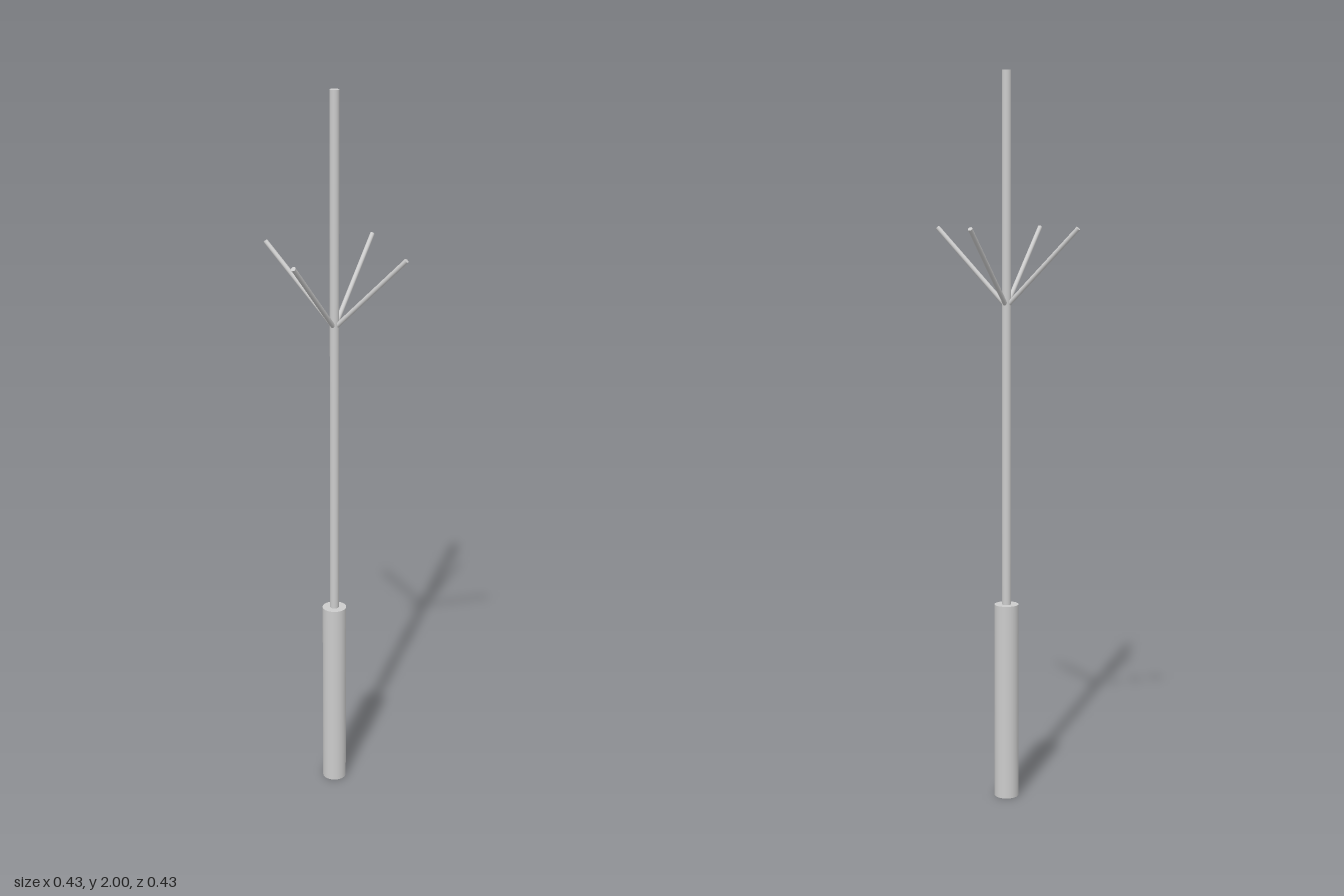
import * as THREE from 'three';

const material = new THREE.MeshStandardMaterial({ color: 0xcccccc });

// Vertical rod standing on its lower end
function rod(name, radius, length, sides) {
  const geometry = new THREE.CylinderGeometry(radius, radius, length, sides);
  geometry.translate(0, length / 2, 0);
  const mesh = new THREE.Mesh(geometry, material);
  mesh.name = name;
  return mesh;
}

export function createModel() {
  const model = new THREE.Group();
  model.name = 'antenna';

  // Thick mounting sleeve at the foot
  model.add(rod('baseSleeve', 0.0335, 0.55, 32));

  // Slim mast rising out of the sleeve
  const mast = rod('mast', 0.0125, 1.5, 24);
  mast.position.y = 0.5;
  model.add(mast);

  // Four radials sloping up at 45 degrees, one per axis direction
  const radials = new THREE.Group();
  radials.name = 'radials';
  radials.position.y = 1.374;
  for (let i = 0; i < 4; i++) {
    const arm = new THREE.Group();
    arm.name = 'radialArm';
    arm.rotation.y = (i * Math.PI) / 2;
    const radial = rod('radial', 0.0063, 0.298, 16);
    radial.rotation.z = -Math.PI / 4;
    arm.add(radial);
    radials.add(arm);
  }
  model.add(radials);

  return model;
}
